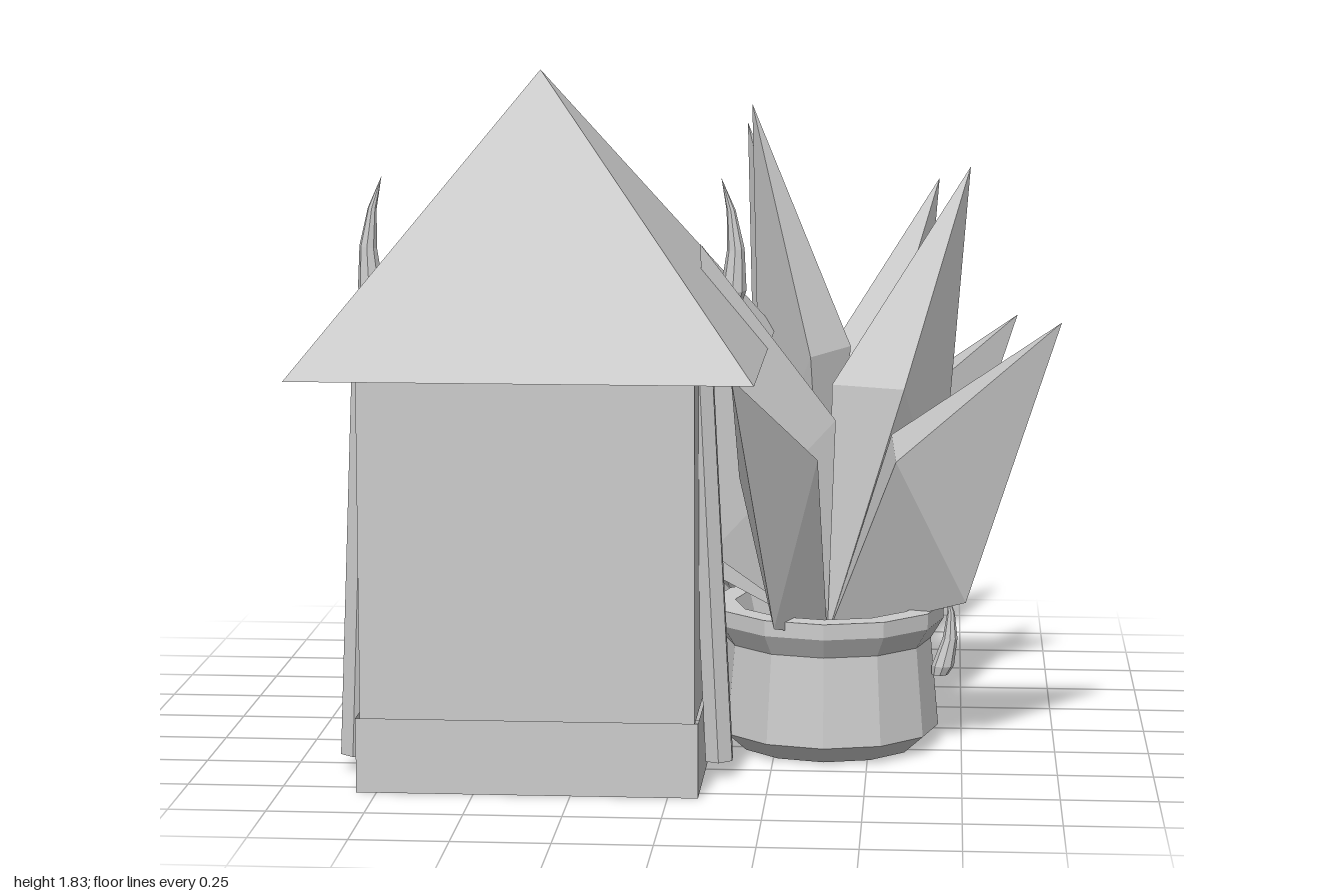
import * as THREE from 'three';
import { ConvexGeometry } from 'three/addons/geometries/ConvexGeometry.js';

const grey = new THREE.MeshStandardMaterial({ color: 0xcccccc, flatShading: true, side: THREE.DoubleSide });
grey.name = 'plain grey';

function add(parent, name, geometry, x = 0, y = 0, z = 0) {
  const mesh = new THREE.Mesh(geometry, grey);
  mesh.name = name;
  mesh.position.set(x, y, z);
  parent.add(mesh);
  return mesh;
}

const box = (parent, name, w, h, d, x, y, z) => add(parent, name, new THREE.BoxGeometry(w, h, d), x, y, z);

const lathe = (points, sides) => new THREE.LatheGeometry(points.map(([r, y]) => new THREE.Vector2(r, y)), sides);

// Small curved horn with a rounded foot, bulging towards +x
function hornGeometry() {
  const geometry = lathe([[0, 0], [0.022, 0], [0.03, 0.025], [0.02, 0.1], [0.01, 0.17], [0, 0.23]], 8);
  const p = geometry.attributes.position;
  for (let i = 0; i < p.count; i++) p.setX(i, p.getX(i) + 0.03 * Math.sin(p.getY(i) * 11));
  return geometry;
}

// Leaf: a twisted double pyramid with an inner ridge, one side corner and a low outer keel
function leafGeometry([x, y, z]) {
  const base = new THREE.Vector3(0, 0.29, 0);
  const tip = new THREE.Vector3(x, y, z);
  const axis = tip.clone().sub(base);
  const length = axis.length();
  axis.normalize();
  const side = new THREE.Vector3(-z, 0, x).normalize();
  const down = new THREE.Vector3().crossVectors(side, axis);
  if (down.y > 0) down.negate();
  const at = (along, out, across) => base.clone()
    .addScaledVector(axis, along * length)
    .addScaledVector(down, out)
    .addScaledVector(side, across);
  return new ConvexGeometry([
    base, tip, at(0.31, 0.245, -0.02), at(0.52, -0.09, 0.15), at(0.49, -0.2, -0.03),
  ]);
}

const leafTips = [
  [-0.23, 1.70, -0.43], [0.375, 1.545, -0.235], [0.61, 1.19, 0.31],
  [-0.23, 1.07, 0.55], [-0.335, 1.37, 0.155], [-0.72, 1.37, -0.25],
];

function pottedPlant(x, z, scale) {
  const plant = new THREE.Group();
  plant.name = 'pottedPlant';
  for (const tip of leafTips) add(plant, 'leaf', leafGeometry(tip));

  // Open-bottomed pot with a flared rim; every pot has the same height
  const container = new THREE.Group();
  container.name = 'container';
  container.scale.y = 1 / scale;
  plant.add(container);
  add(container, 'pot', lathe([
    [0.245, 0], [0.302, 0.05], [0.28, 0.29], [0.314, 0.345], [0.314, 0.387], [0.25, 0.387], [0.225, 0.29],
  ], 12));
  const soil = add(container, 'soil', new THREE.CircleGeometry(0.23, 12), 0, 0.29, 0);
  soil.rotation.x = -Math.PI / 2;
  for (const s of [1, -1]) {
    const handle = add(container, 'potHandle', hornGeometry(), s * 0.305, 0.195, 0.03);
    handle.rotation.y = s > 0 ? 0 : Math.PI;
  }
  plant.position.set(x, 0, z);
  plant.scale.setScalar(scale);
  return plant;
}

function hut() {
  const house = new THREE.Group();
  house.name = 'hut';
  box(house, 'walls', 0.86, 0.9, 0.82, 0, 0.637, 0);

  // Hollow plinth band, open underneath
  const band = new THREE.CylinderGeometry(0.44 * Math.SQRT2, 0.44 * Math.SQRT2, 0.195, 4, 1, true).rotateY(Math.PI / 4);
  add(house, 'plinth', band, 0, 0.0975, 0).scale.z = 0.955;

  // Square pyramid roof
  const roof = new THREE.ConeGeometry(0.588 * Math.SQRT2, 0.745, 4).rotateY(Math.PI / 4);
  add(house, 'roof', roof, 0, 1.4575, 0).scale.z = 0.96;

  // Window with a heavy lintel
  box(house, 'windowFrame', 0.02, 0.54, 0.21, -0.436, 0.54, -0.045);
  box(house, 'windowPane', 0.012, 0.46, 0.15, -0.444, 0.53, -0.045);
  box(house, 'windowLintel', 0.05, 0.085, 0.24, -0.445, 0.84, -0.045);

  for (const s of [1, -1]) {
    // Post leaning on each side wall
    const low = new THREE.Vector3(s * 0.48, 0.045, 0.185);
    const high = new THREE.Vector3(s * 0.433, 1.06, 0.23);
    const post = add(house, 'leaningPost', new THREE.CylinderGeometry(0.038, 0.04, low.distanceTo(high), 6));
    post.position.copy(low).lerp(high, 0.5);
    post.quaternion.setFromUnitVectors(new THREE.Vector3(0, 1, 0), high.clone().sub(low).normalize());

    // Horn on each roof slope
    const horn = add(house, 'roofHorn', hornGeometry(), s * 0.485, 1.185, -0.235);
    horn.scale.set(1.2, 1.5, 1.2);
    horn.rotation.set(0, s > 0 ? 0 : Math.PI, 0.14);

    // Door jamb and a horn beside it at the back
    box(house, 'doorJamb', 0.045, 0.56, 0.04, s * 0.15, 0.3, -0.425);
    const doorHorn = add(house, 'doorHorn', hornGeometry(), s * 0.2, 0.42, -0.42);
    doorHorn.rotation.y = Math.PI / 2;
  }

  // Back door and step
  box(house, 'door', 0.26, 0.54, 0.02, 0, 0.3, -0.42);
  box(house, 'doorLintel', 0.36, 0.05, 0.05, 0, 0.6, -0.43);
  box(house, 'doorStep', 0.42, 0.04, 0.15, 0, 0.02, -0.475);

  house.position.set(-0.362, 0, 0.381);
  return house;
}

export function createModel() {
  const model = new THREE.Group();
  model.name = 'hutWithPottedPlants';
  model.add(hut());
  model.add(pottedPlant(0.385, 0.16, 1));
  model.add(pottedPlant(0.322, -0.545, 0.94));
  model.add(pottedPlant(-0.415, -0.53, 0.805));
  return model;
}
